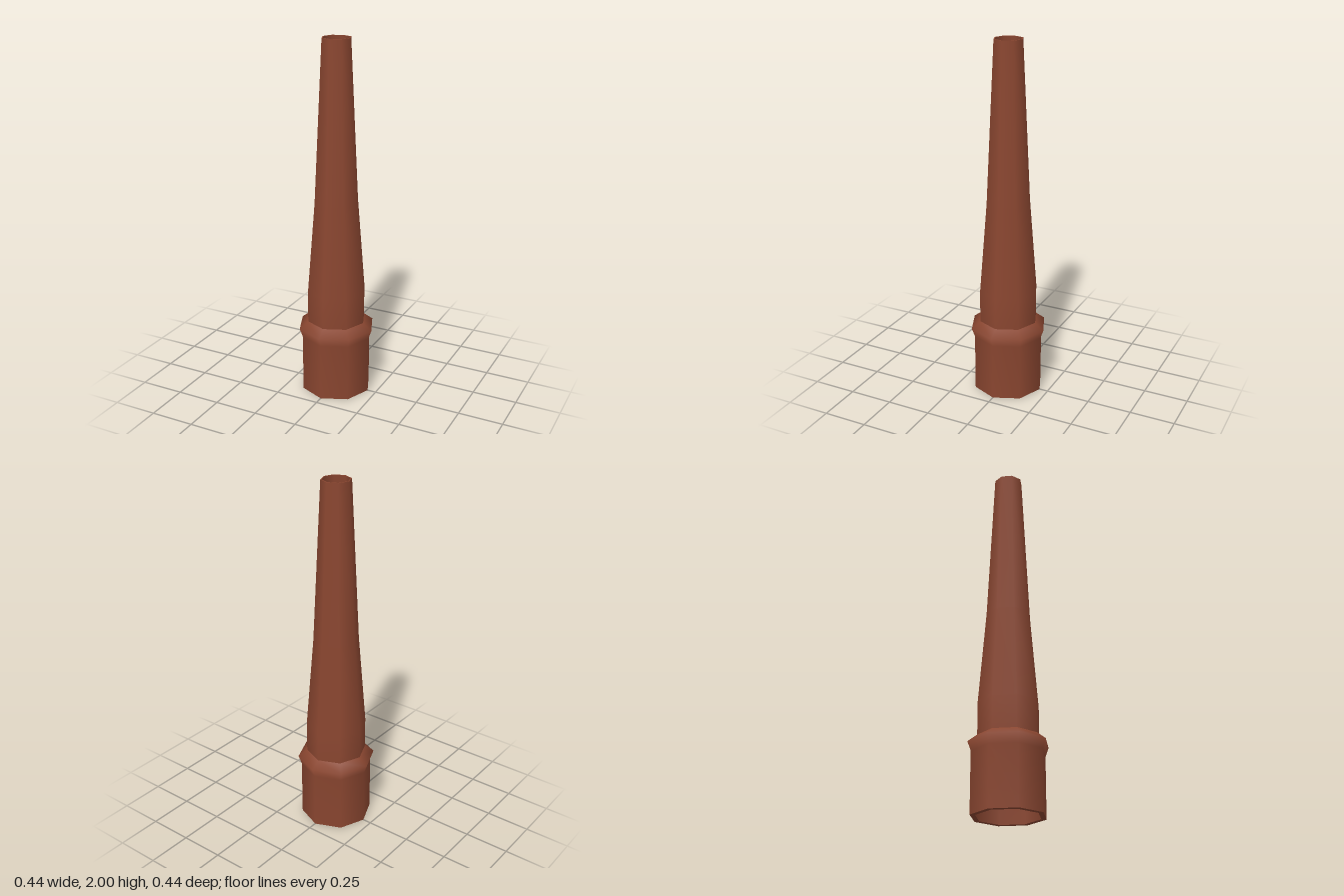
import * as THREE from 'three';

const SIDES = 8;

export function createModel() {
  const group = new THREE.Group();
  group.name = 'chimneyPipe';
  const brick = new THREE.MeshStandardMaterial({ color: 0x8a4630 });
  brick.name = 'terracotta';

  // Revolves a profile of [radius, height] pairs; rising profiles face outward
  const turn = (name, profile) => {
    const points = profile.map(([r, y]) => new THREE.Vector2(r, y));
    const mesh = new THREE.Mesh(new THREE.LatheGeometry(points, SIDES), brick);
    mesh.name = name;
    group.add(mesh);
  };

  // Socket with flared collar, sloping in to the shaft
  turn('socket', [[0.2, 0], [0.2, 0.33], [0.218, 0.38], [0.167, 0.42]]);

  // Tapering shaft
  turn('shaft', [[0.167, 0.42], [0.167, 0.6], [0.124, 1.12], [0.08, 2]]);

  // Flat rims at both ends
  turn('topRim', [[0.08, 2], [0.073, 2]]);
  turn('bottomRim', [[0.172, 0], [0.2, 0]]);

  // Hollow bore, facing inward
  turn('bore', [[0.073, 2], [0.116, 1.12], [0.157, 0.6], [0.157, 0.4], [0.172, 0.33], [0.172, 0]]);

  return group;
}
